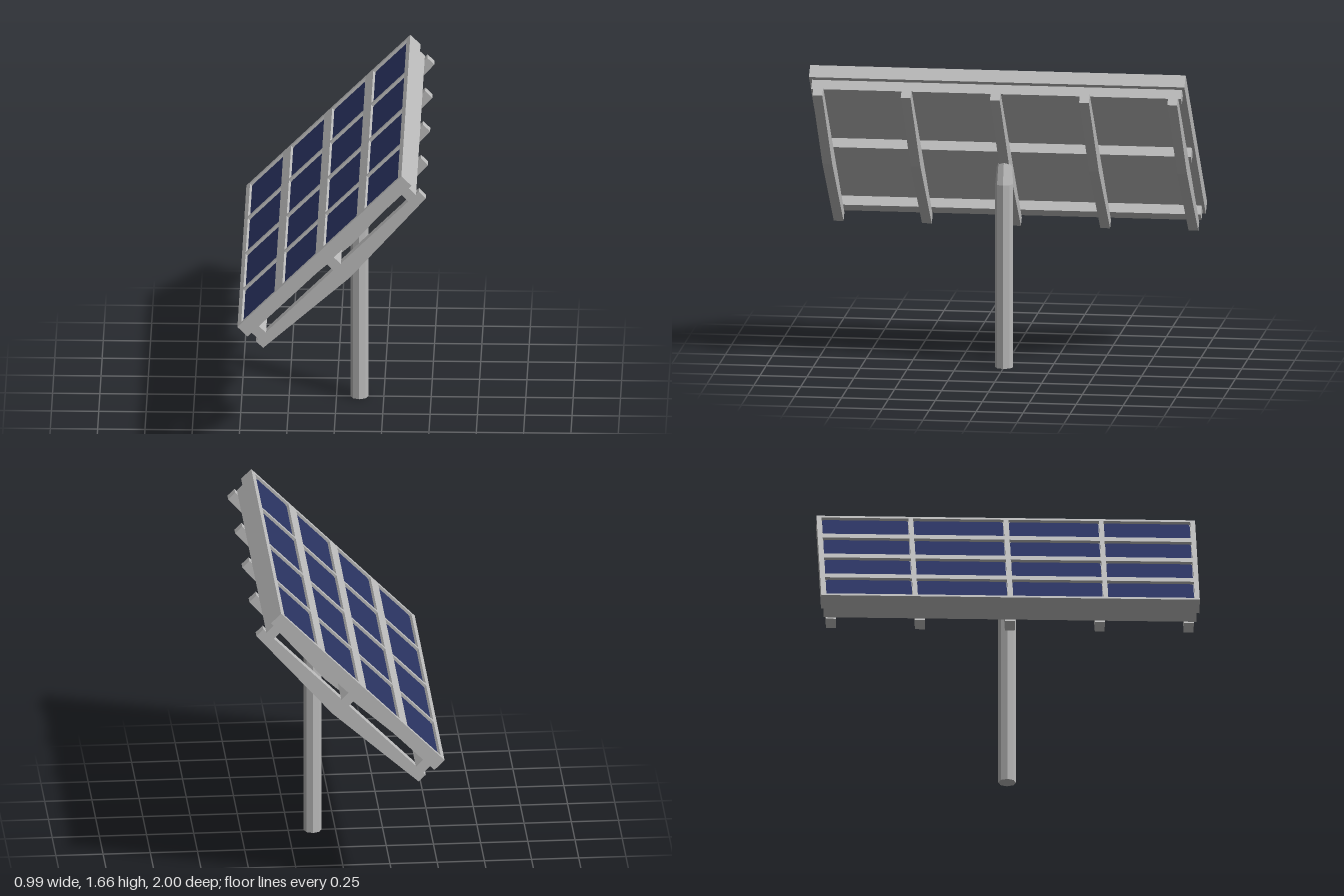
import * as THREE from 'three';

const HALF_LENGTH = 1;
const U0 = 0.205, U1 = 1.43;          // low and high edge of the panel along the slope
const PANEL_BOTTOM = 0.836, PANEL_TOP = 0.912, RECESS = 0.016;
const BEAM_TOP = 0.778;

export function createModel() {
  const metal = new THREE.MeshStandardMaterial({ color: 0xbababa });
  metal.name = 'grey metal';
  const cellBlue = new THREE.MeshStandardMaterial({ color: 0x2a3361 });
  cellBlue.name = 'solar blue';

  const model = new THREE.Group();
  model.name = 'solarPanel';

  // Everything on the slope is built flat: x up the slope, y out of the panel
  const array = new THREE.Group();
  array.name = 'tiltedArray';
  array.rotation.z = Math.PI / 4;
  model.add(array);

  function add(parent, name, geometry, material) {
    const mesh = new THREE.Mesh(geometry, material);
    mesh.name = name;
    parent.add(mesh);
    return mesh;
  }
  function block(name, x0, x1, y0, y1, halfZ) {
    const box = add(array, name, new THREE.BoxGeometry(x1 - x0, y1 - y0, halfZ * 2), metal);
    box.position.set((x0 + x1) / 2, (y0 + y1) / 2, 0);
  }
  // Plate lying in the panel plane, extruded upward from height y
  function plate(name, shape, y, thickness, material) {
    const geo = new THREE.ExtrudeGeometry(shape, { depth: thickness, bevelEnabled: false });
    geo.rotateX(-Math.PI / 2);
    add(array, name, geo, material).position.y = y;
  }
  const outline = (pts, Type = THREE.Shape) => new Type(pts.map(p => new THREE.Vector2(...p)));
  const rectangle = (a, b, c, d) => [[a, c], [b, c], [b, d], [a, d]];

  // Backing slab, frame with sixteen openings, and the recessed cells
  const floor = PANEL_TOP - RECESS;
  block('panelBacking', U0, U1, PANEL_BOTTOM, floor, HALF_LENGTH);
  const frame = outline(rectangle(U0, U1, -HALF_LENGTH, HALF_LENGTH));
  const columns = [[-0.974, -0.515], [-0.491, -0.013], [0.013, 0.491], [0.515, 0.974]];
  for (let row = 0; row < 4; row++) {
    const a = U0 + 0.028 + row * 0.307, b = a + 0.248;
    for (const [c, d] of columns) {
      frame.holes.push(outline(rectangle(a, b, c, d), THREE.Path));
      const g = 0.003, k = 0.012;      // gap to the frame and clipped corner
      const [l, r, n, f] = [a + g, b - g, c + g, d - g];
      plate('solarCell', outline([
        [l + k, n], [r - k, n], [r, n + k], [r, f - k],
        [r - k, f], [l + k, f], [l, f - k], [l, n + k],
      ]), floor, 0.003, cellBlue);
    }
  }
  plate('panelFrame', frame, floor, RECESS, metal);

  // Three long rails under the panel
  for (const u of [0.258, 0.817, 1.378]) {
    block('supportRail', u - 0.027, u + 0.027, BEAM_TOP, PANEL_BOTTOM, 0.985);
  }

  // Five cross beams, deepest in the middle
  const beamShape = outline([
    [0.209, BEAM_TOP], [0.209, 0.725], [0.817, 0.687], [1.425, 0.725], [1.425, BEAM_TOP],
  ]);
  const beamGeo = new THREE.ExtrudeGeometry(beamShape, { depth: 0.052, bevelEnabled: false });
  beamGeo.translate(0, 0, -0.026);
  for (const z of [-0.945, -0.475, 0, 0.475, 0.945]) {
    add(array, 'crossBeam', beamGeo, metal).position.z = z;
  }

  // Eight-sided post that bends toward the beam and is cut parallel to the slope
  const postMaterial = metal;
  let post = new THREE.CylinderGeometry(0.047, 0.047, 2, 8, 2);
  const p = post.attributes.position;
  for (let i = 0; i < p.count; i++) {
    const level = Math.round(p.getY(i)) + 1;
    const x = p.getX(i), z = p.getZ(i);
    if (level === 2) {
      const topX = 0.095 + x * 0.68;
      p.setXYZ(i, topX, topX + 0.982, z * 0.9);
    } else {
      p.setXYZ(i, 0.121 + x, level * 0.99, z);
    }
  }
  post = post.toNonIndexed();
  post.computeVertexNormals();
  add(model, 'post', post, postMaterial);

  return model;
}
